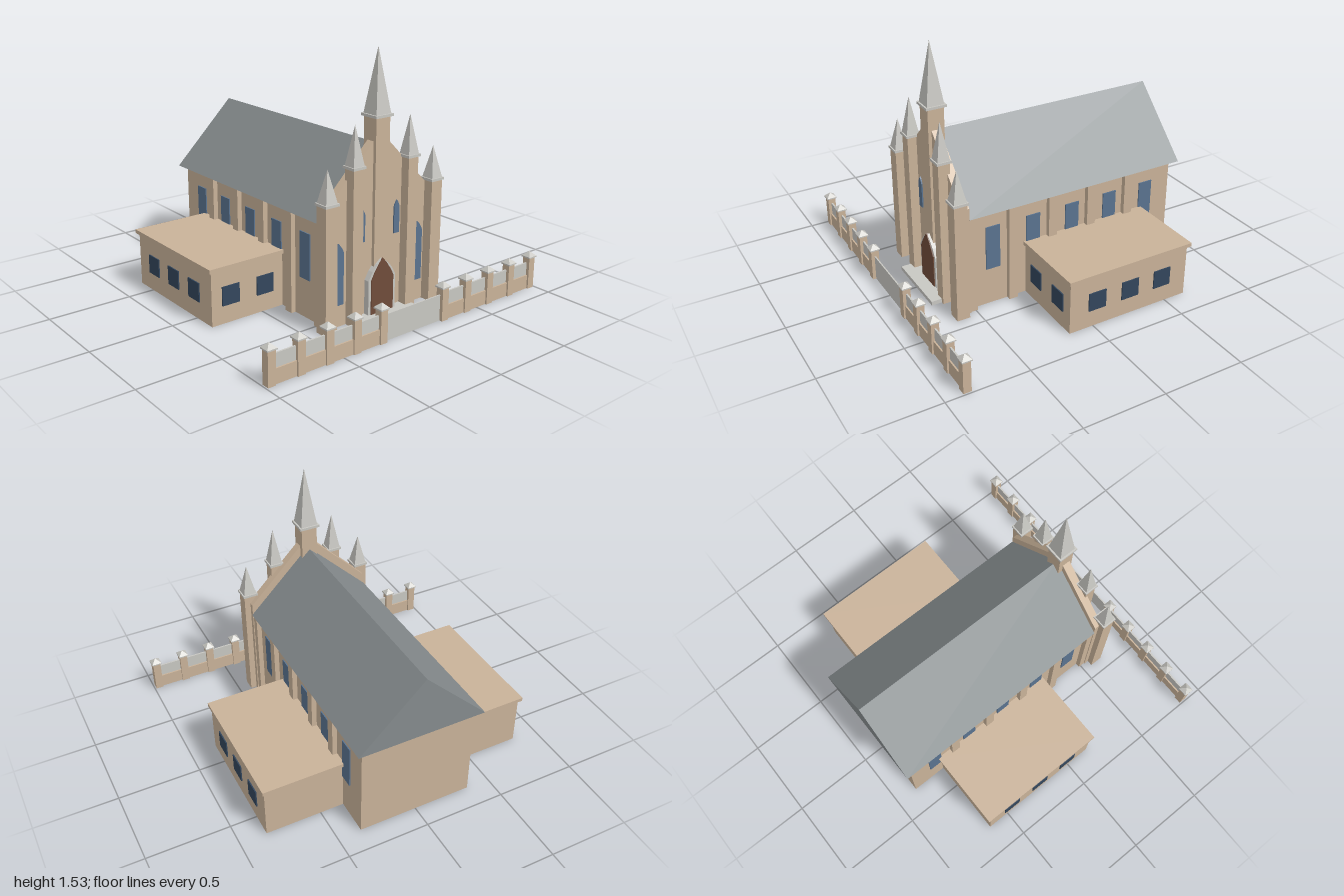
import * as THREE from 'three';

export function createModel() {
  const model = new THREE.Group();
  model.name = 'church';
  const mat = (name, color) => {
    const m = new THREE.MeshStandardMaterial({ color, flatShading: true });
    m.name = name;
    return m;
  };
  const stone = mat('sandstone', 0xc9b299);
  const slate = mat('roof slate', 0x858b8d);
  const pale = mat('pale stone', 0xc8c7c2);
  const glass = mat('blue glass', 0x5a738f);
  const darkGlass = mat('dark glass', 0x33465c);
  const wood = mat('door wood', 0x704c3a);

  const add = (name, geometry, material) => {
    const mesh = new THREE.Mesh(geometry, material);
    mesh.name = name;
    model.add(mesh);
    return mesh;
  };
  // Box given by its limits on each axis
  const box = (name, material, x0, x1, y0, y1, z0, z1) =>
    add(name, new THREE.BoxGeometry(x1 - x0, y1 - y0, z1 - z0), material)
      .position.set((x0 + x1) / 2, (y0 + y1) / 2, (z0 + z1) / 2);
  // Four-sided pyramid standing on y
  const pyramid = (name, material, half, height, x, y, z) => {
    const g = new THREE.ConeGeometry(half * Math.SQRT2, height, 4);
    g.rotateY(Math.PI / 4);
    add(name, g, material).position.set(x, y + height / 2, z);
  };
  // Outline extruded from z0 to z1
  const extrude = (name, material, shape, z0, z1) => {
    const g = new THREE.ExtrudeGeometry(shape, { depth: z1 - z0, bevelEnabled: false, curveSegments: 3 });
    add(name, g, material).position.z = z0;
  };
  const polygon = (points) => new THREE.Shape(points.map(([x, y]) => new THREE.Vector2(x, y)));
  // Pointed arch outline
  const arch = (x, half, bottom, shoulder, top, bulge = 0.6) => {
    const s = new THREE.Shape();
    const midY = shoulder + (top - shoulder) * bulge;
    s.moveTo(x - half, bottom);
    s.lineTo(x + half, bottom);
    s.lineTo(x + half, shoulder);
    s.quadraticCurveTo(x + half * 0.6, midY, x, top);
    s.quadraticCurveTo(x - half * 0.6, midY, x - half, shoulder);
    return s;
  };
  // Square shaft with cap slab and spire
  const tower = (name, x, z, half, height, capHalf, tip) => {
    box(name + 'Shaft', stone, x - half, x + half, 0, height, z - half, z + half);
    box(name + 'Cap', pale, x - capHalf, x + capHalf, height, height + 0.015, z - capHalf, z + capHalf);
    pyramid(name + 'Spire', pale, capHalf * 0.84, tip - height - 0.015, x, height + 0.015, z);
  };

  // Nave and gabled roof
  box('nave', stone, -0.355, 0.355, 0, 0.615, -0.86, 0.54);
  extrude('naveRoof', slate, polygon([[-0.395, 0.61], [0.395, 0.61], [0, 1.0]]), -0.9, 0.53);

  // Front gable wall
  extrude('facade', stone, polygon([[-0.39, 0], [0.39, 0], [0.39, 0.68], [0.05, 1.02], [-0.05, 1.02], [-0.39, 0.68]]), 0.53, 0.58);

  // Entrance
  tower('centralTower', 0, 0.55, 0.05, 1.15, 0.063, 1.53);
  extrude('doorFrame', pale, arch(0, 0.1, 0.02, 0.23, 0.345, 0.7), 0.58, 0.615);
  extrude('door', wood, arch(0, 0.082, 0.025, 0.23, 0.35, 0.55), 0.613, 0.62);
  box('entranceStep', pale, -0.215, 0.215, 0, 0.025, 0.57, 0.7);

  for (const s of [-1, 1]) {
    // Facade towers and windows
    tower('innerTower', s * 0.2, 0.6, 0.036, 0.9, 0.045, 1.14);
    tower('outerTower', s * 0.387, 0.6, 0.04, 0.73, 0.047, 0.93);
    extrude('tallWindow', glass, arch(s * 0.295, 0.036, 0.13, 0.435, 0.49), 0.579, 0.588);
    extrude('upperWindow', glass, arch(s * 0.128, 0.02, 0.46, 0.615, 0.655), 0.579, 0.588);

    // Box mirrored to either side, with x measured outward
    const sideBox = (name, material, x0, x1, ...rest) =>
      box(name, material, Math.min(s * x0, s * x1), Math.max(s * x0, s * x1), ...rest);

    // Nave windows and buttresses
    for (let i = 0; i < 5; i++) {
      const w = 0.371 - i * 0.264;
      const b = 0.515 - i * 0.264;
      sideBox('naveWindow', glass, 0.354, 0.362, 0.235, 0.51, w - 0.045, w + 0.045);
      sideBox('buttress', stone, 0.35, 0.385, 0, 0.612, b - 0.028, b + 0.028);
    }

    // Side wing
    sideBox('wing', stone, 0.35, 0.838, 0, 0.325, -0.64, 0.155);
    sideBox('wingRoof', stone, 0.35, 0.853, 0.322, 0.345, -0.66, 0.168);
    for (const z of [-0.023, -0.245, -0.467])
      sideBox('wingSideWindow', darkGlass, 0.837, 0.845, 0.108, 0.222, z - 0.057, z + 0.057);
    for (const x of [0.48, 0.713])
      sideBox('wingFrontWindow', darkGlass, x - 0.057, x + 0.057, 0.108, 0.222, 0.154, 0.162);

    // Boundary fence
    const z = 0.867;
    for (let i = 0; i < 5; i++) {
      const x = 0.23 + i * 0.184;
      sideBox('fencePost', stone, x - 0.024, x + 0.024, 0, 0.197, z - 0.024, z + 0.024);
      sideBox('fencePostCap', pale, x - 0.031, x + 0.031, 0.195, 0.203, z - 0.031, z + 0.031);
      pyramid('fencePostTip', pale, 0.031, 0.028, s * x, 0.203, z);
    }
    sideBox('fenceWall', stone, 0.23, 0.966, 0, 0.085, z - 0.014, z + 0.014);
    sideBox('fencePanel', pale, 0.23, 0.966, 0.085, 0.163, z - 0.005, z + 0.005);
  }
  box('gate', pale, -0.21, 0.21, 0, 0.155, 0.863, 0.871);

  return model;
}
